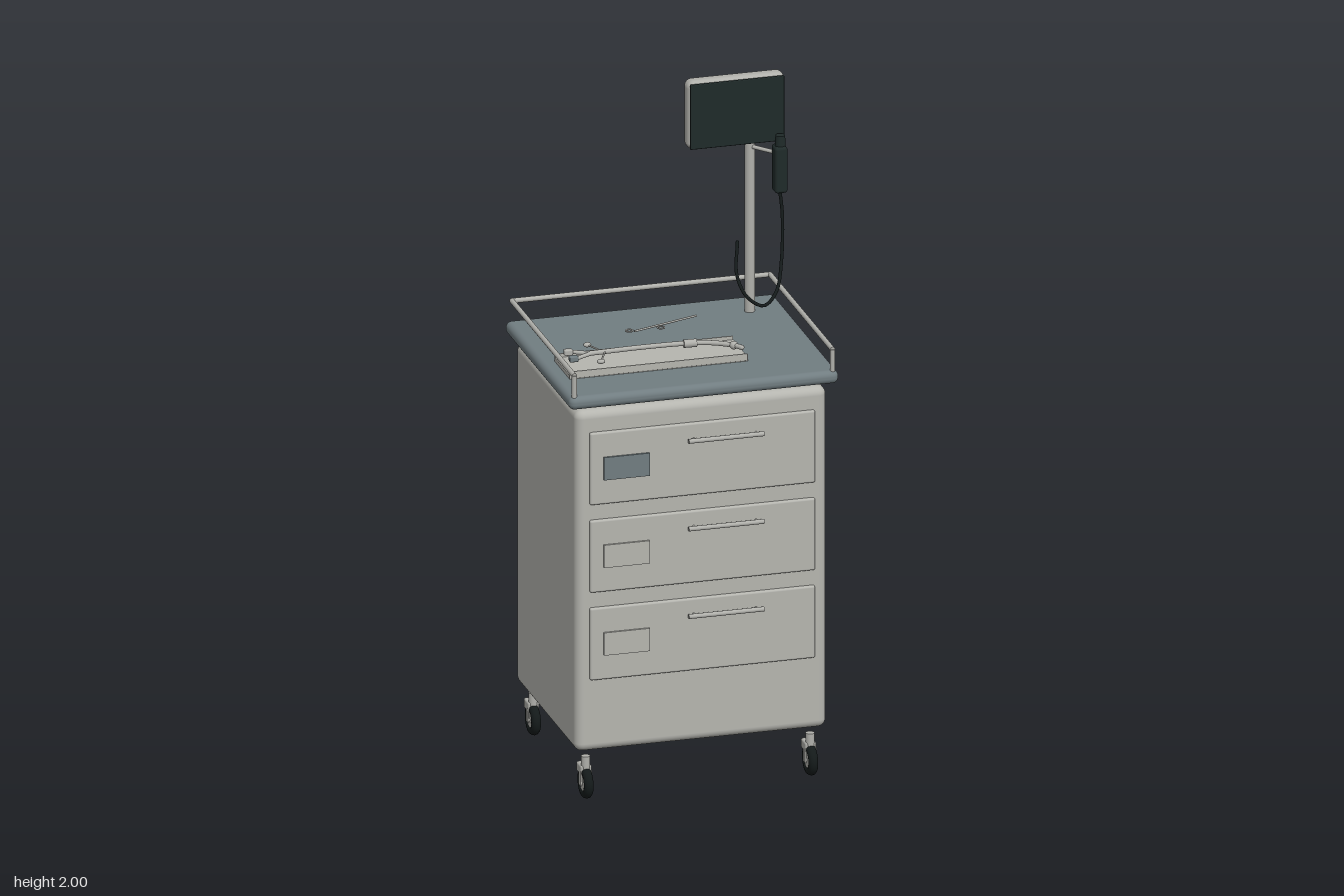
import * as THREE from 'three';
import { RoundedBoxGeometry } from 'three/addons/geometries/RoundedBoxGeometry.js';

const mat = (name, color) => {
  const m = new THREE.MeshStandardMaterial({ color });
  m.name = name;
  return m;
};

export function createModel() {
  const cabinetGrey = mat('cabinet grey', 0xb5b5af);
  const slate = mat('slate', 0x717d81);
  const steel = mat('steel', 0xb0b0ab);
  const darkGreen = mat('dark green black', 0x1f2a29);
  const black = mat('black', 0x141a1a);

  const model = new THREE.Group();
  model.name = 'medicalCart';
  const V = (x, y, z) => new THREE.Vector3(x, y, z);

  const add = (name, geo, material, x = 0, y = 0, z = 0, parent = model) => {
    const mesh = new THREE.Mesh(geo, material);
    mesh.name = name;
    mesh.position.set(x, y, z);
    parent.add(mesh);
    return mesh;
  };
  const rbox = (w, h, d, r, s = 4) => new RoundedBoxGeometry(w, h, d, s, r);

  // Straight capped rod between two points
  const rod = (name, a, b, r, material, parent = model) => {
    const mesh = add(name, new THREE.CylinderGeometry(r, r, a.distanceTo(b), 16), material, 0, 0, 0, parent);
    mesh.position.copy(a).add(b).multiplyScalar(0.5);
    mesh.quaternion.setFromUnitVectors(V(0, 1, 0), b.clone().sub(a).normalize());
    return mesh;
  };
  // Smooth tube through points, with round ends
  const tube = (name, pts, r, material, parent = model) => {
    const curve = new THREE.CatmullRomCurve3(pts.map((p) => V(...p)));
    add(name, new THREE.TubeGeometry(curve, 60, r, 10), material, 0, 0, 0, parent);
    for (const p of [pts[0], pts[pts.length - 1]]) {
      add(name + 'End', new THREE.SphereGeometry(r, 10, 8), material, ...p, parent);
    }
  };

  // Cabinet and worktop
  add('cabinet', rbox(0.756, 1.05, 0.62, 0.025), cabinetGrey, -0.003, 0.68, -0.003);
  add('worktop', rbox(0.81, 0.04, 0.675, 0.018), slate, 0, 1.239, -0.007);

  // Drawers with label plates and bar handles
  [1.029, 0.759, 0.489].forEach((y, i) => {
    const drawer = new THREE.Group();
    drawer.name = 'drawer' + (i + 1);
    drawer.position.set(0, y, 0);
    model.add(drawer);
    add('drawerFront', rbox(0.677, 0.222, 0.016, 0.006, 3), cabinetGrey, -0.002, 0, 0.31, drawer);
    add('labelPlate', new THREE.BoxGeometry(0.137, 0.07, 0.008), i ? cabinetGrey : slate, -0.232, 0, 0.32, drawer);
    rod('handleBar', V(-0.05, 0.063, 0.335), V(0.177, 0.063, 0.335), 0.007, steel, drawer);
    for (const x of [-0.03, 0.157]) {
      rod('handlePost', V(x, 0.063, 0.316), V(x, 0.063, 0.335), 0.004, steel, drawer);
    }
  });

  // Casters
  for (const x of [-0.34, 0.335]) {
    for (const z of [0.267, -0.274]) {
      const caster = new THREE.Group();
      caster.name = 'caster';
      caster.position.set(x, 0, z);
      model.add(caster);
      const tyre = add('tyre', new THREE.TorusGeometry(0.033, 0.0145, 12, 32), black, 0, 0.048, 0, caster);
      tyre.rotation.y = Math.PI / 2;
      rod('hub', V(-0.011, 0.048, 0), V(0.011, 0.048, 0), 0.024, steel, caster);
      rod('axle', V(-0.016, 0.048, 0), V(0.016, 0.048, 0), 0.006, steel, caster);
      rod('stem', V(0, 0.09, 0), V(0, 0.13, 0), 0.013, steel, caster);
      add('forkBridge', rbox(0.034, 0.03, 0.05, 0.006, 2), steel, 0, 0.087, -0.016, caster);
      for (const s of [-1, 1]) {
        add('forkArm', new THREE.BoxGeometry(0.004, 0.045, 0.02), steel, s * 0.015, 0.062, -0.004, caster);
      }
    }
  }

  // Guard rail around the back and sides, with posts at the front
  const railY = 1.323;
  rod('backRail', V(-0.388, railY, -0.326), V(0.388, railY, -0.326), 0.0075, steel);
  for (const s of [-1, 1]) {
    rod('sideRail', V(s * 0.388, railY, -0.326), V(s * 0.388, railY, 0.318), 0.0075, steel);
    rod('railPost', V(s * 0.388, 1.255, 0.315), V(s * 0.388, railY, 0.315), 0.0075, steel);
    add('railCorner', new THREE.SphereGeometry(0.0075, 12, 8), steel, s * 0.388, railY, -0.326);
  }

  // Mast, monitor and screen
  rod('mast', V(0.295, 1.25, -0.218), V(0.295, 1.88, -0.218), 0.015, steel);
  add('monitor', rbox(0.295, 0.212, 0.056, 0.022), steel, 0.2425, 1.894, -0.195);
  add('screen', rbox(0.283, 0.2, 0.008, 0.003, 2), darkGreen, 0.2425, 1.894, -0.167);

  // Handset, holder and hanging cable
  rod('handsetHolder', V(0.295, 1.768, -0.215), V(0.362, 1.764, -0.145), 0.006, steel);
  add('handset', rbox(0.038, 0.142, 0.046, 0.009), darkGreen, 0.362, 1.72, -0.139);
  add('handsetTip', new THREE.CylinderGeometry(0.014, 0.016, 0.04, 20), darkGreen, 0.364, 1.802, -0.139);
  tube('cable', [
    [0.362, 1.655, -0.138], [0.367, 1.58, -0.128], [0.353, 1.45, -0.09], [0.325, 1.378, -0.045],
    [0.275, 1.352, -0.009], [0.234, 1.374, -0.031], [0.214, 1.43, -0.072], [0.228, 1.515, -0.115],
  ], 0.005, black);

  // Instrument tray with raised long edges
  add('tray', new THREE.BoxGeometry(0.536, 0.012, 0.156), cabinetGrey, -0.094, 1.266, 0.101);
  for (const z of [0.026, 0.177]) {
    add('trayEdge', rbox(0.536, 0.022, 0.006, 0.0025, 2), cabinetGrey, -0.094, 1.272, z);
  }

  // Forked tube lying above the tray
  const tool = new THREE.Group();
  tool.name = 'forkedInstrument';
  tool.position.y = 1.298;
  model.add(tool);
  tube('instrumentTube', [
    [-0.272, 0, 0.087], [-0.117, 0, 0.081], [0.026, 0, 0.087],
    [0.09, 0, 0.104], [0.142, 0, 0.14], [0.16, 0, 0.164],
  ], 0.0075, steel, tool);
  rod('instrumentCollar', V(0.007, 0, 0.088), V(0.045, 0, 0.09), 0.012, steel, tool);
  add('instrumentJoint', new THREE.SphereGeometry(0.0125, 16, 12), steel, 0.143, 0, 0.139, tool);
  for (const s of [-1, 1]) {
    const z = 0.0885 + s * 0.028;
    rod('branch', V(-0.272, 0, 0.0885), V(-0.322, 0, z), 0.006, steel, tool);
    add('branchCap', rbox(0.026, 0.018, 0.018, 0.004, 2), s > 0 ? slate : steel, -0.332, 0, z, tool);
    const wing = V(-0.265, 0.004, 0.099 + s * 0.071);
    rod('sideWire', V(-0.231, 0, 0.092), wing, 0.0025, steel, tool);
    const pad = add('wirePad', new THREE.SphereGeometry(0.012, 16, 12), steel, ...wing.toArray(), tool);
    pad.scale.set(1, 0.6, 0.75);
  }

  // Loose probe and two small rings on the worktop
  rod('looseProbe', V(-0.082, 1.274, -0.112), V(0.125, 1.274, -0.185), 0.003, steel);
  for (const x of [-0.095, 0]) {
    const ring = add('smallRing', new THREE.TorusGeometry(0.01, 0.0025, 8, 24), steel, x, 1.274, -0.121);
    ring.rotation.x = Math.PI / 2;
  }

  return model;
}
